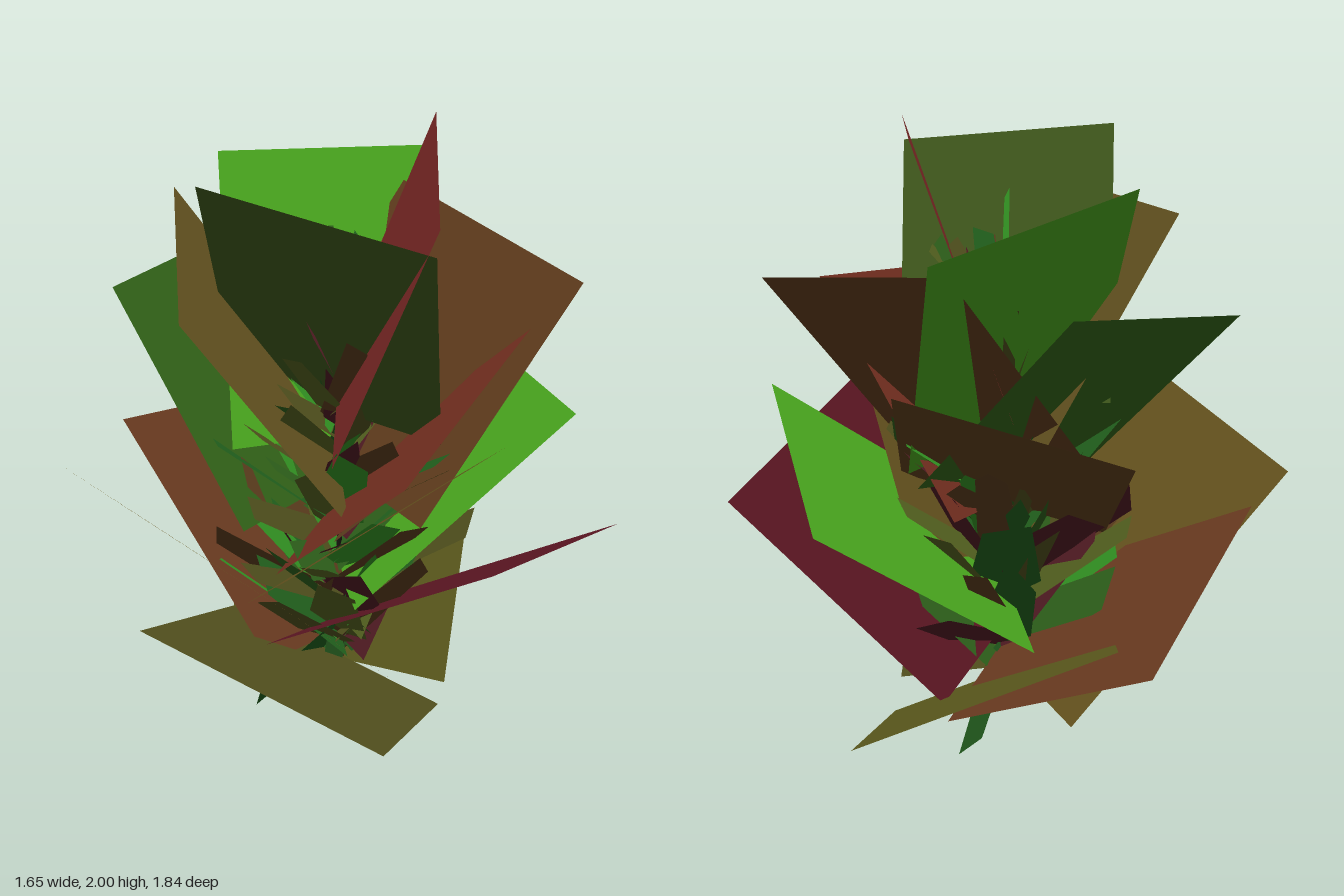
import * as THREE from 'three';

const STEM_X = -0.04, STEM_Z = 0.02;

// Seeded generator in 0..1
function seeded(seed) {
  return () => {
    seed = (seed * 16807) % 2147483647;
    return seed / 2147483647;
  };
}

// Flat four-cornered leaf: tip edge a-b, joined to the stem at height baseY
function makeLeaf(name, a, b, baseY, color, baseWidth = 1) {
  const tipA = new THREE.Vector3(...a), tipB = new THREE.Vector3(...b);
  const edge = tipB.clone().sub(tipA);
  const half = edge.clone().multiplyScalar(0.5 * baseWidth);
  const base = new THREE.Vector3(STEM_X, baseY, STEM_Z);
  const geometry = new THREE.BufferGeometry().setFromPoints([
    base.clone().sub(half), base.clone().add(half), tipB, tipA,
  ]);
  // Wind the corners so the upper side is the front, and light it from above as foliage
  const facesUp = edge.cross(tipA.clone().add(tipB).multiplyScalar(0.5).sub(base)).y > 0;
  geometry.setIndex(facesUp ? [0, 1, 2, 0, 2, 3] : [0, 2, 1, 0, 3, 2]);
  geometry.setAttribute('normal', new THREE.Float32BufferAttribute([0, 1, 0, 0, 1, 0, 0, 1, 0, 0, 1, 0], 3));
  const mesh = new THREE.Mesh(geometry, new THREE.MeshStandardMaterial({ color, side: THREE.DoubleSide }));
  mesh.name = name;
  return mesh;
}

// Large leaves from bottom to top: tip corner, tip corner, base height, colour
const LARGE_LEAVES = [
  [[0.11, 0.68, -0.92], [-0.53, 0.89, -0.60], 0.26, 0x66381f],
  [[0.82, 0.49, -0.51], [0.15, 0.73, -0.82], 0.14, 0x56541a],
  [[-0.83, 0.80, 0.37], [-0.35, 0.59, 0.92], 0.16, 0x504e1c],
  [[-0.81, 0.88, -0.47], [-0.75, 1.07, 0.23], 0.20, 0x62501c],
  [[0.04, 0.99, 0.81], [0.69, 0.78, 0.52], 0.32, 0x561420],
  [[0.75, 0.99, -0.21], [0.54, 1.18, 0.45], 0.52, 0x46a01c],
  [[-0.53, 1.11, 0.72], [0.16, 1.28, 0.65], 0.60, 0x5c4a1a],
  [[-0.23, 1.34, 0.79], [0.36, 1.50, 0.44], 0.79, 0x6a2a1c],
  [[0.05, 1.22, -0.74], [0.54, 1.39, -0.30], 0.78, 0x563a18],
  [[-0.57, 1.45, -0.45], [0.11, 1.59, -0.53], 0.87, 0x2f5e16],
  [[0.35, 1.69, -0.29], [0.59, 1.56, 0.36], 0.91, 0x5a381a],
  [[-0.62, 1.66, 0.27], [-0.38, 1.77, -0.37], 0.98, 0x5c4c1c],
  [[-0.24, 1.86, -0.36], [0.46, 1.76, -0.37], 1.03, 0x46a01c],
  [[-0.475, 1.94, 0.06], [-0.03, 1.85, 0.57], 1.12, 0x3c541a],
  [[-0.03, 1.93, 0.58], [0.30, 2.00, -0.02], 1.16, 0x66201e],
];
// Short leaves drooping around the foot of the stem
const LOW_LEAVES = [
  [[0.24, 0.01, -0.14], [0.19, 0.09, -0.20], 0.24, 0x1c5018],
  [[-0.37, 0.11, 0.08], [-0.38, 0.26, 0.16], 0.27, 0x1c5a1a],
  [[-0.12, 0.05, 0.13], [-0.16, 0.10, 0.11], 0.24, 0x1a4616],
  [[-0.13, 0.06, -0.25], [-0.21, 0.09, -0.22], 0.28, 0x1c5018],
];
const SMALL_COLORS = [0x2a5a18, 0x4a4a1a, 0x1f5a1a, 0x55381a, 0x2f8a20, 0x4a1820, 0x4e5a1c];
const SMALL_COUNT = 120;

export function createModel() {
  const group = new THREE.Group();
  group.name = 'leafyPlant';

  // Thin tapering stem
  const stemHeight = 1.45;
  const stem = new THREE.Mesh(
    new THREE.CylinderGeometry(0.005, 0.024, stemHeight, 8),
    new THREE.MeshStandardMaterial({ color: 0x15110e, flatShading: true })
  );
  stem.position.set(STEM_X, stemHeight / 2, STEM_Z);
  stem.name = 'stem';
  group.add(stem);

  // Broad outer leaves
  const large = new THREE.Group();
  large.name = 'largeLeaves';
  LARGE_LEAVES.forEach((leaf, i) => large.add(makeLeaf('largeLeaf' + (i + 1), ...leaf)));
  group.add(large);

  // Drooping leaves at the foot
  const low = new THREE.Group();
  low.name = 'lowLeaves';
  LOW_LEAVES.forEach((leaf, i) => low.add(makeLeaf('lowLeaf' + (i + 1), ...leaf, 1.3)));
  group.add(low);

  // Narrow inner leaves spiralling up the stem
  const small = new THREE.Group();
  small.name = 'smallLeaves';
  const rand = seeded(4711);
  for (let i = 0; i < SMALL_COUNT; i++) {
    const t = i / (SMALL_COUNT - 1);
    const angle = i * 2.4 + rand() * 0.4;
    const lift = 0.45 + 0.35 * t + rand() * 0.6;
    const length = 0.6 - 0.16 * t - rand() * 0.15;
    const baseY = 0.2 + 1.2 * t;
    const out = Math.cos(lift) * length;
    const tip = new THREE.Vector3(
      STEM_X + Math.cos(angle) * out, baseY + Math.sin(lift) * length, STEM_Z + Math.sin(angle) * out
    );
    // Tip edge runs sideways with a random twist
    const width = (0.12 - 0.07 * t) * (0.6 + rand() * 0.8);
    const twist = (rand() - 0.5) * 2.6;
    const side = new THREE.Vector3(
      -Math.sin(angle) * Math.cos(twist), Math.sin(twist), Math.cos(angle) * Math.cos(twist)
    ).multiplyScalar(width / 2);
    const a = tip.clone().sub(side).toArray(), b = tip.clone().add(side).toArray();
    const color = SMALL_COLORS[i % SMALL_COLORS.length];
    small.add(makeLeaf('smallLeaf' + (i + 1), a, b, baseY, color, 1.8));
  }
  group.add(small);
  return group;
}
